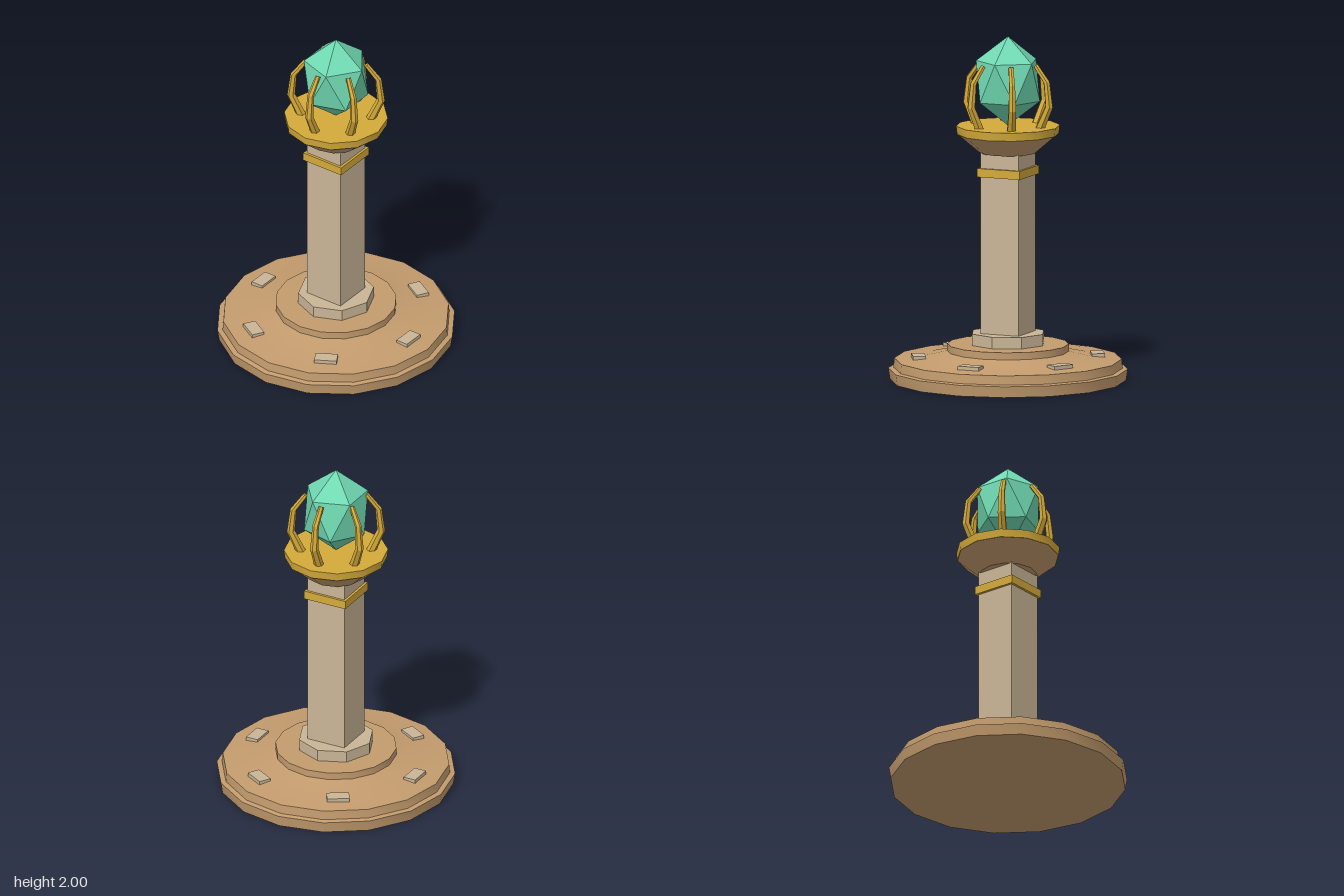
import * as THREE from 'three';
import { toCreasedNormals } from 'three/addons/utils/BufferGeometryUtils.js';
import { ConvexGeometry } from 'three/addons/geometries/ConvexGeometry.js';

const mat = (name, color) => {
  const m = new THREE.MeshStandardMaterial({ color });
  m.name = name;
  return m;
};

export function createModel() {
  const clay = mat('clay', 0xc49c6e);
  const stone = mat('pale stone', 0xcab697);
  const gold = mat('gold', 0xd4aa3a);
  const jade = mat('jade crystal', 0x70d9b2);

  const root = new THREE.Group();
  root.name = 'crystalPedestal';
  const add = (name, geometry, material, y = 0, parent = root) => {
    const mesh = new THREE.Mesh(geometry, material);
    mesh.name = name;
    mesh.position.y = y;
    parent.add(mesh);
    return mesh;
  };
  // Turned solid from [radius, height] pairs, bottom to top
  const turned = (profile, sides) => toCreasedNormals(
    new THREE.LatheGeometry(profile.map(p => new THREE.Vector2(...p)), sides), 0.6);

  // Stepped round base with a gently sloping top
  add('base', turned([[0, 0], [0.68, 0], [0.69, 0.065], [0.66, 0.07], [0.655, 0.123],
    [0.48, 0.139], [0.35, 0.168], [0.35, 0.21], [0, 0.21]], 16), clay);

  // Paving tiles around the base
  for (let i = 0; i < 6; i++) {
    const a = i * Math.PI / 3;
    const tile = add('tile' + (i + 1), new THREE.BoxGeometry(0.075, 0.026, 0.13), stone, 0.14);
    tile.position.x = 0.517 * Math.cos(a);
    tile.position.z = -0.517 * Math.sin(a);
    tile.rotation.y = a;
  }

  // Column
  add('columnFoot', turned([[0, 0.2], [0.22, 0.2], [0.22, 0.277], [0, 0.277]], 8), stone);
  add('column', new THREE.BoxGeometry(0.24, 1.07, 0.24), stone, 0.81);
  add('columnBand', new THREE.BoxGeometry(0.27, 0.05, 0.27), gold, 1.215);

  // Flared bowl and its gold rim plate
  add('bowl', turned([[0, 1.325], [0.165, 1.325], [0.295, 1.435], [0, 1.435]], 12), clay);
  add('rimPlate', turned([[0, 1.433], [0.295, 1.433], [0.3, 1.481], [0, 1.481]], 12), gold);

  // Crystal: two tips and two staggered rings of five
  const points = [new THREE.Vector3(0, 0.26, 0), new THREE.Vector3(0, -0.26, 0)];
  for (let i = 0; i < 10; i++) {
    const a = i * Math.PI / 5;
    points.push(new THREE.Vector3(0.185 * Math.cos(a), i % 2 ? -0.116 : 0.116, 0.185 * Math.sin(a)));
  }
  add('crystal', new ConvexGeometry(points), jade, 1.74);

  // Tapered claws: a cylinder whose rows follow [reach, height, radius, lean]
  const rows = [[0.2, 1.47, 0.028, -0.5], [0.26, 1.605, 0.024, -0.2],
    [0.245, 1.745, 0.019, 0.3], [0.175, 1.84, 0.015, 0.65]];
  const bent = new THREE.CylinderGeometry(1, 1, 1, 6, rows.length - 1);
  const pos = bent.attributes.position;
  for (let i = 0; i < pos.count; i++) {
    const [reach, height, r, lean] = rows[Math.round((pos.getY(i) + 0.5) * (rows.length - 1))];
    const x = pos.getX(i) * r, z = pos.getZ(i) * r;
    pos.setXYZ(i, x, height + z * Math.sin(lean), reach + z * Math.cos(lean));
  }
  const clawGeometry = bent.toNonIndexed();
  clawGeometry.computeVertexNormals();
  const claws = new THREE.Group();
  claws.name = 'claws';
  root.add(claws);
  for (let i = 0; i < 6; i++) {
    add('claw' + (i + 1), clawGeometry, gold, 0, claws).rotation.y = i * Math.PI / 3;
  }

  return root;
}
